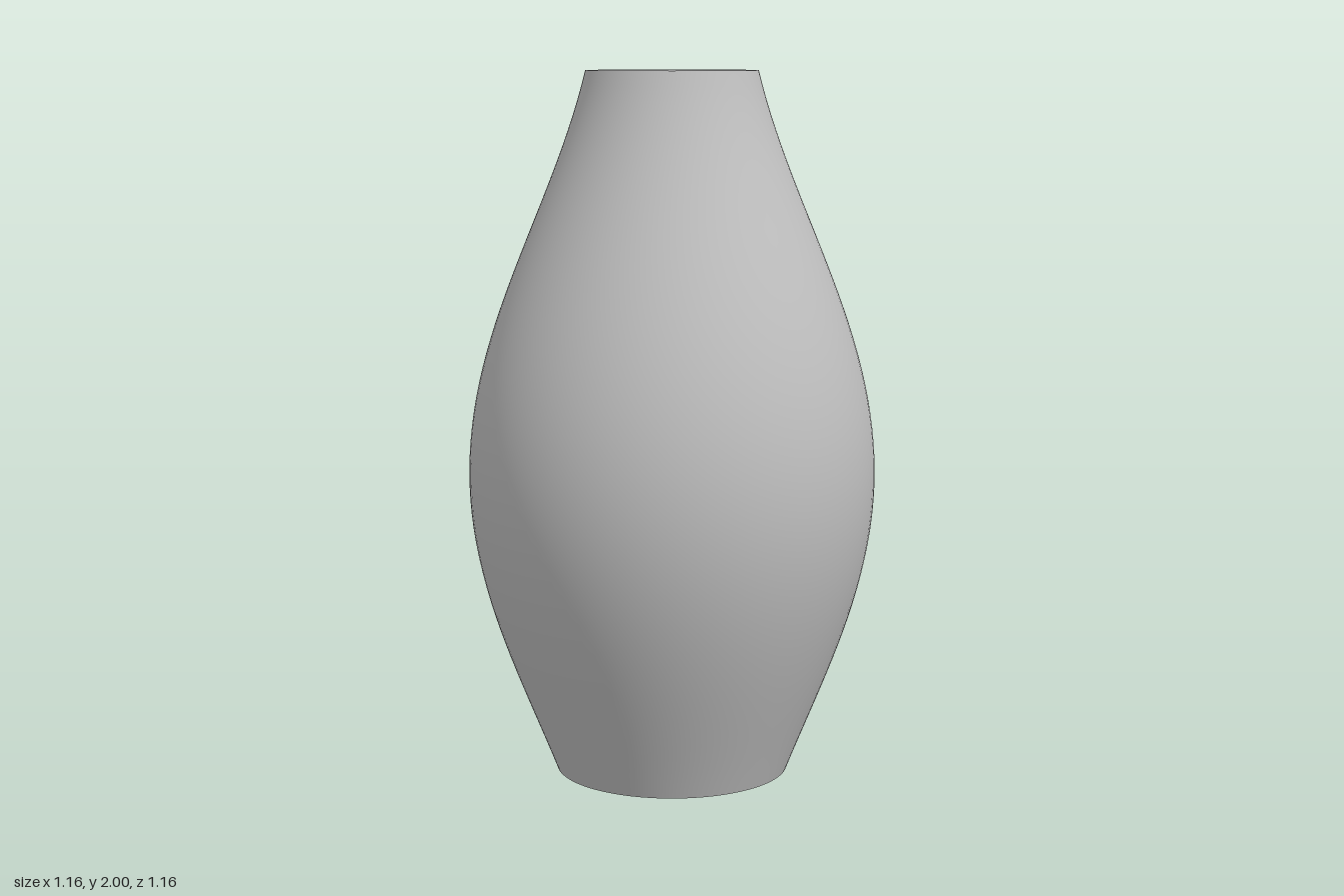
import * as THREE from 'three';

export function createModel() {
  const group = new THREE.Group();
  group.name = 'vase';

  const grey = new THREE.MeshStandardMaterial({ color: 0xc0c0c0, side: THREE.DoubleSide });
  grey.name = 'grey';

  // Thin shell, open at both ends: a cosine belly, widest a little below the middle
  const height = 2, steps = 48;
  const belly = { y: 0.86, radius: 0.578, swing: 0.186, frequency: 2.2 };
  const profile = [];
  for (let i = 0; i <= steps; i++) {
    const y = (height * i) / steps;
    const r = belly.radius - belly.swing * (1 - Math.cos(belly.frequency * (y - belly.y)));
    profile.push(new THREE.Vector2(r, y));
  }

  const shell = new THREE.Mesh(new THREE.LatheGeometry(profile, 96), grey);
  shell.name = 'vaseShell';
  group.add(shell);
  return group;
}
